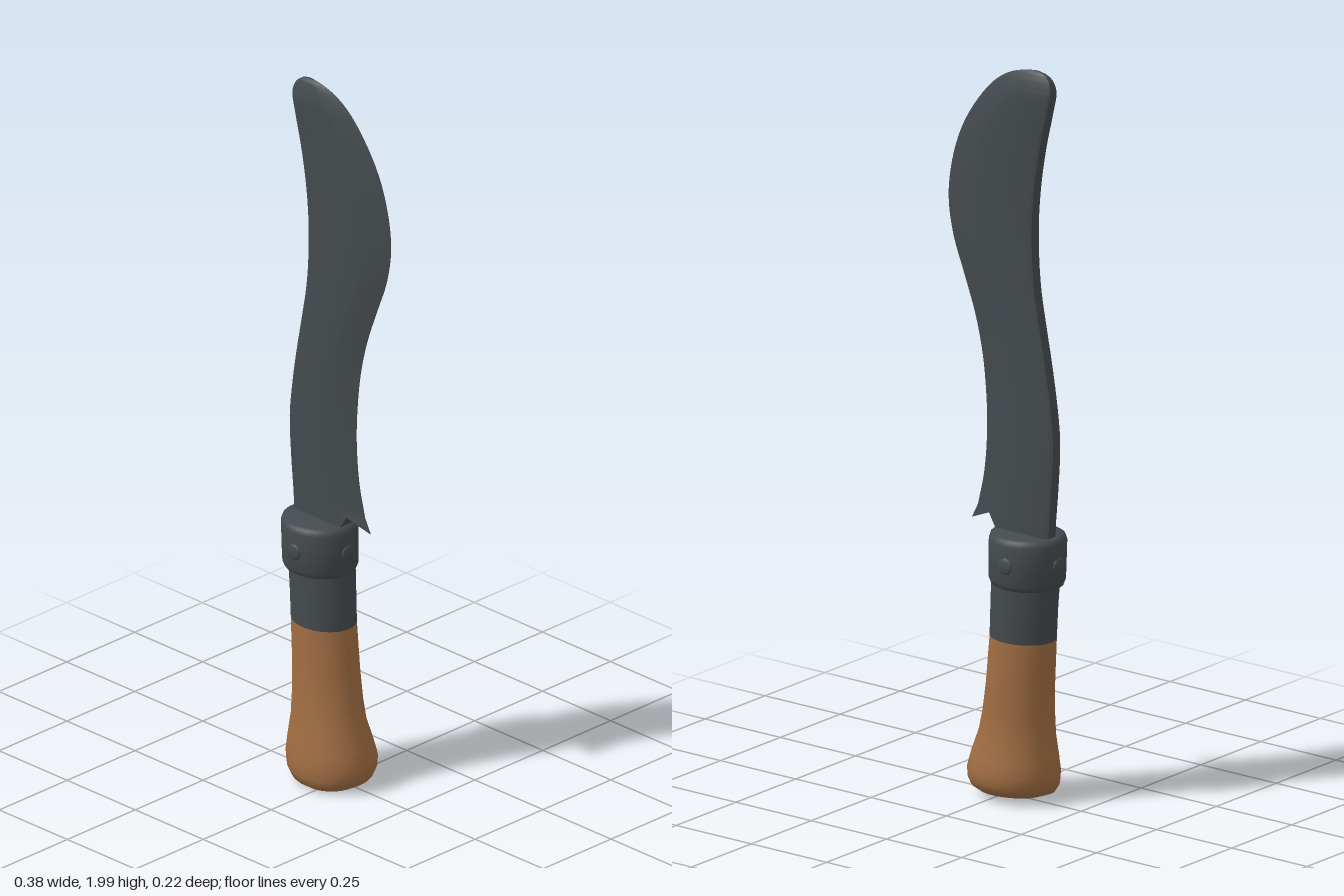
import * as THREE from 'three';
import { toCreasedNormals } from 'three/addons/utils/BufferGeometryUtils.js';

// Skin a stack of rings (each counter-clockwise from above), closing both ends
function loft(rings, crease) {
  const n = rings[0].length, pos = rings.flat(2), idx = [];
  const quad = (a, b, c, d) => idx.push(a, b, c, a, c, d);
  for (let r = 0; r < rings.length - 1; r++)
    for (let i = 0; i < n; i++) {
      const j = (i + 1) % n;
      quad(r * n + i, r * n + j, (r + 1) * n + j, (r + 1) * n + i);
    }
  const top = (rings.length - 1) * n;
  for (let i = 0; i < n / 2 - 1; i++) {
    quad(n - 1 - i, n - 2 - i, i + 1, i);
    quad(top + i, top + i + 1, top + n - 2 - i, top + n - 1 - i);
  }
  const g = new THREE.BufferGeometry();
  g.setAttribute('position', new THREE.Float32BufferAttribute(pos, 3));
  g.setIndex(idx);
  return toCreasedNormals(g, crease);
}

// Oval ring filling x0..x1 and z0..z1, tilted front to back
function oval([y, x0, x1, z0, z1, tilt = 0], sides = 24) {
  return Array.from({ length: sides }, (_, i) => {
    const a = ((i + 0.5) / sides) * Math.PI * 2;
    const x = (x0 + x1) / 2 + Math.cos(a) * (x1 - x0) / 2;
    const z = (z0 + z1) / 2 - Math.sin(a) * (z1 - z0) / 2;
    return [x, y - tilt * z, z];
  });
}

// Ring from [x, y, half thickness] columns running from spine to edge
function bladeRing(cols) {
  const side = (s) => cols.map(([x, y, t]) => {
    const centre = -0.016 + 0.018 * (y - 0.74) / 1.26;
    return [x, y, centre + s * t];
  });
  return [...side(1), ...side(-1).reverse()];
}

function bladeGeometry() {
  // spine x, height, edge x
  const outline = new THREE.CatmullRomCurve3([
    [-0.167, 0.785, 0.08], [-0.174, 0.88, 0.06], [-0.178, 1.0, 0.052],
    [-0.167, 1.1, 0.057], [-0.15, 1.2, 0.07], [-0.13, 1.3, 0.095],
    [-0.111, 1.4, 0.132], [-0.102, 1.5, 0.17], [-0.101, 1.6, 0.187],
    [-0.109, 1.7, 0.177], [-0.125, 1.8, 0.145], [-0.145, 1.89, 0.09],
    [-0.156, 1.95, 0.035], [-0.147, 1.98, -0.012], [-0.128, 1.995, -0.06],
    [-0.108, 2.0, -0.09],
  ].map((p) => new THREE.Vector3(...p)));
  // Notched heel beside the collar
  const rings = [bladeRing([
    [-0.165, 0.72, 0.015], [-0.155, 0.72, 0.02], [0.005, 0.735, 0.02],
    [0.03, 0.775, 0.018], [0.1, 0.745, 0.001],
  ])];
  for (const p of outline.getPoints(60)) {
    const w = p.z - p.x;
    const t = 0.02 * Math.min(1, Math.sqrt(Math.max(0.02, (2.0 - p.y) / 0.06)));
    const bevel = Math.min(0.07, w * 0.35);
    rings.push(bladeRing([
      [p.x, p.y, t * 0.75], [p.x + Math.min(0.01, w * 0.1), p.y, t],
      [p.z - bevel * 1.3, p.y, t], [p.z - bevel, p.y, t * 0.92],
      [p.z, p.y, 0.001],
    ]));
  }
  return loft(rings, 0.6);
}

export function createModel() {
  const group = new THREE.Group();
  const material = (name, color) => {
    const m = new THREE.MeshStandardMaterial({ color });
    m.name = name;
    return m;
  };
  const steel = material('dark steel', 0x444a4e);
  const wood = material('brown wood', 0xa06d42);
  const add = (name, geometry, mat) => {
    const mesh = new THREE.Mesh(geometry, mat);
    mesh.name = name;
    group.add(mesh);
    return mesh;
  };

  add('blade', bladeGeometry(), steel);

  // Wooden grip, flaring to a rounded butt
  add('grip', loft([
    [0.012, -0.07, 0.035, -0.055, 0.06, 0.1],
    [0.015, -0.105, 0.07, -0.08, 0.085, 0.1],
    [0.028, -0.138, 0.092, -0.1, 0.102, 0.1],
    [0.05, -0.153, 0.102, -0.108, 0.109, 0.08],
    [0.08, -0.157, 0.104, -0.109, 0.109, 0.04],
    [0.12, -0.154, 0.093, -0.101, 0.1],
    [0.18, -0.146, 0.072, -0.087, 0.088],
    [0.24, -0.146, 0.058, -0.084, 0.08],
    [0.32, -0.149, 0.044, -0.085, 0.074],
    [0.45, -0.157, 0.03, -0.086, 0.07],
  ].map((r) => oval(r)), 0.9), wood);

  // Steel sleeve between grip and collar
  add('ferrule', loft([
    [0.45, -0.157, 0.03, -0.086, 0.07],
    [0.53, -0.163, 0.026, -0.088, 0.068],
    [0.62, -0.171, 0.022, -0.09, 0.068],
  ].map((r) => oval(r)), 0.9), steel);

  // Thick collar with softened rims
  add('collar', loft([
    [0.597, -0.168, 0.012, -0.09, 0.07],
    [0.602, -0.178, 0.021, -0.1, 0.08],
    [0.615, -0.183, 0.026, -0.105, 0.085],
    [0.67, -0.185, 0.026, -0.106, 0.086],
    [0.722, -0.188, 0.024, -0.107, 0.085],
    [0.735, -0.184, 0.02, -0.103, 0.081],
    [0.74, -0.175, 0.011, -0.094, 0.072],
  ].map((r) => oval(r)), 0.8), steel);

  // Low domed rivets around the collar
  for (let i = 0; i < 4; i++) {
    const a = (i * Math.PI) / 2;
    const rivet = add('rivet', new THREE.SphereGeometry(0.023, 14, 10), steel);
    rivet.scale.z = 0.3;
    rivet.rotation.y = a;
    rivet.position.set(-0.08 + Math.sin(a) * 0.104, 0.667, -0.01 + Math.cos(a) * 0.095);
  }
  return group;
}
